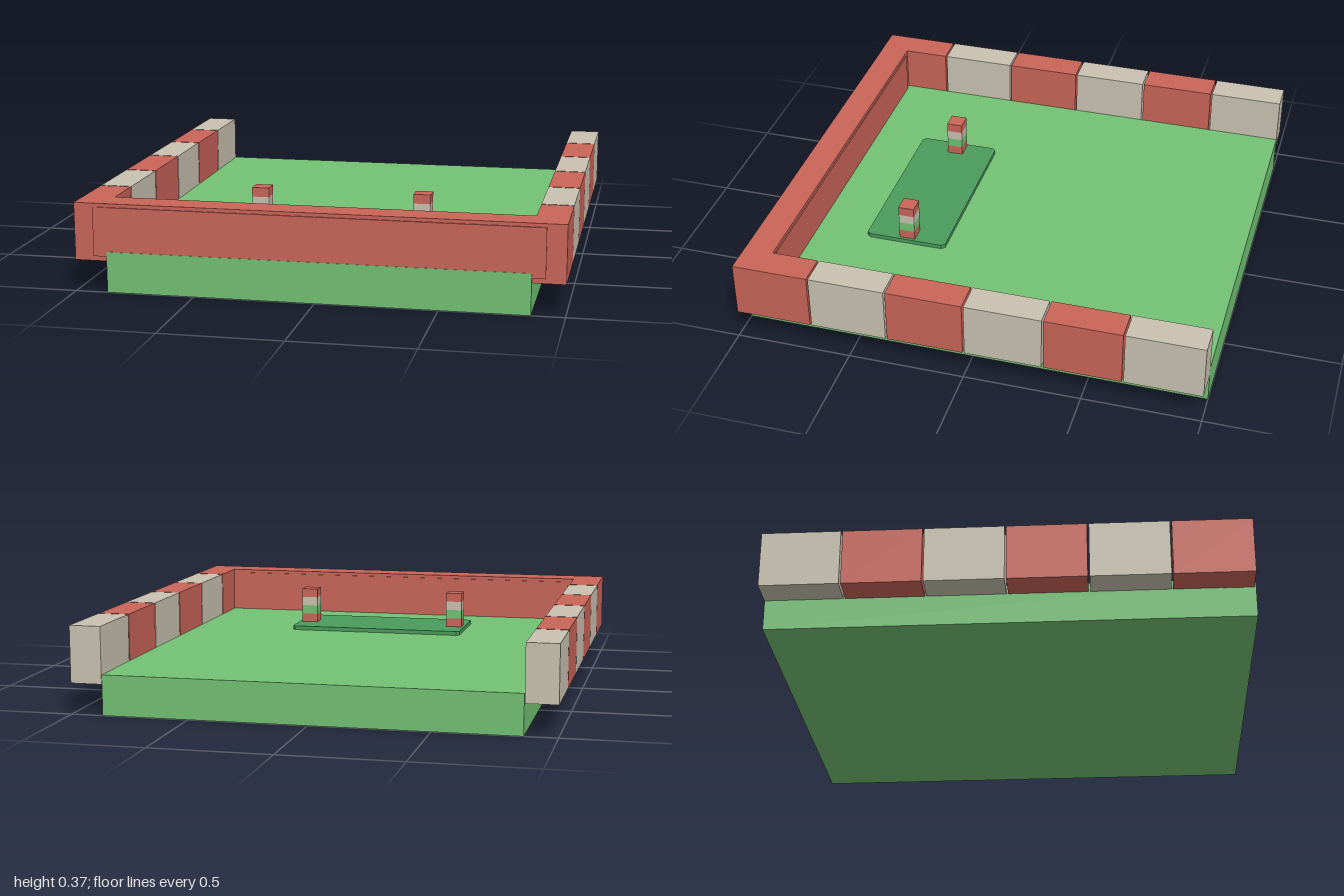
import * as THREE from 'three';

const material = (name, color) => {
  const m = new THREE.MeshStandardMaterial({ color });
  m.name = name;
  return m;
};

export function createModel() {
  const group = new THREE.Group();
  const red = material('red', 0xc96458);
  const cream = material('cream', 0xc9c2b0);
  const grass = material('grass green', 0x72c173);
  const darkGreen = material('dark green', 0x4a9b5c);

  // Box given by its lower and upper limits on each axis
  function box(name, mat, [x0, x1], [y0, y1], [z0, z1]) {
    const mesh = new THREE.Mesh(new THREE.BoxGeometry(x1 - x0, y1 - y0, z1 - z0), mat);
    mesh.position.set((x0 + x1) / 2, (y0 + y1) / 2, (z0 + z1) / 2);
    mesh.name = name;
    group.add(mesh);
  }

  // Ground slab
  box('base', grass, [-0.865, 0.865], [0, 0.17], [-1, 1]);

  // Alternating kerb blocks on both sides
  for (const side of [-1, 1]) {
    for (let i = 0; i < 6; i++) {
      const z = -1 + i / 3;
      const x = side < 0 ? [-1, -0.867] : [0.867, 1];
      box('kerbBlock', i % 2 ? red : cream, x, [0.13, 0.37], [z, z + 0.326]);
    }
  }

  // Front wall with a slightly raised panel on each face
  box('frontWall', red, [-0.868, 0.868], [0.13, 0.37], [0.867, 0.992]);
  box('frontWallOuterPanel', red, [-0.92, 0.92], [0.15, 0.355], [0.98, 0.998]);
  box('frontWallInnerPanel', red, [-0.84, 0.84], [0.15, 0.355], [0.862, 0.88]);

  // Dark pad with clipped corners
  const w = 0.4, d = 0.18, c = 0.015;
  const outline = new THREE.Shape([
    [-w + c, -d], [w - c, -d], [w, -d + c], [w, d - c],
    [w - c, d], [-w + c, d], [-w, d - c], [-w, -d + c],
  ].map(([x, y]) => new THREE.Vector2(x, y)));
  const pad = new THREE.Mesh(
    new THREE.ExtrudeGeometry(outline, { depth: 0.02, bevelEnabled: false }), darkGreen);
  pad.rotation.x = -Math.PI / 2;
  pad.position.set(0, 0.168, 0.45);
  pad.name = 'pad';
  group.add(pad);

  // Two banded posts standing on the pad
  const bands = [red, grass, cream, red];
  const bandHeight = 0.04;
  for (const x of [-0.35, 0.35]) {
    bands.forEach((mat, i) => {
      const y = 0.187 + i * bandHeight;
      box('postBand', mat, [x - 0.037, x + 0.037], [y, y + bandHeight], [0.41, 0.48]);
    });
  }

  return group;
}
